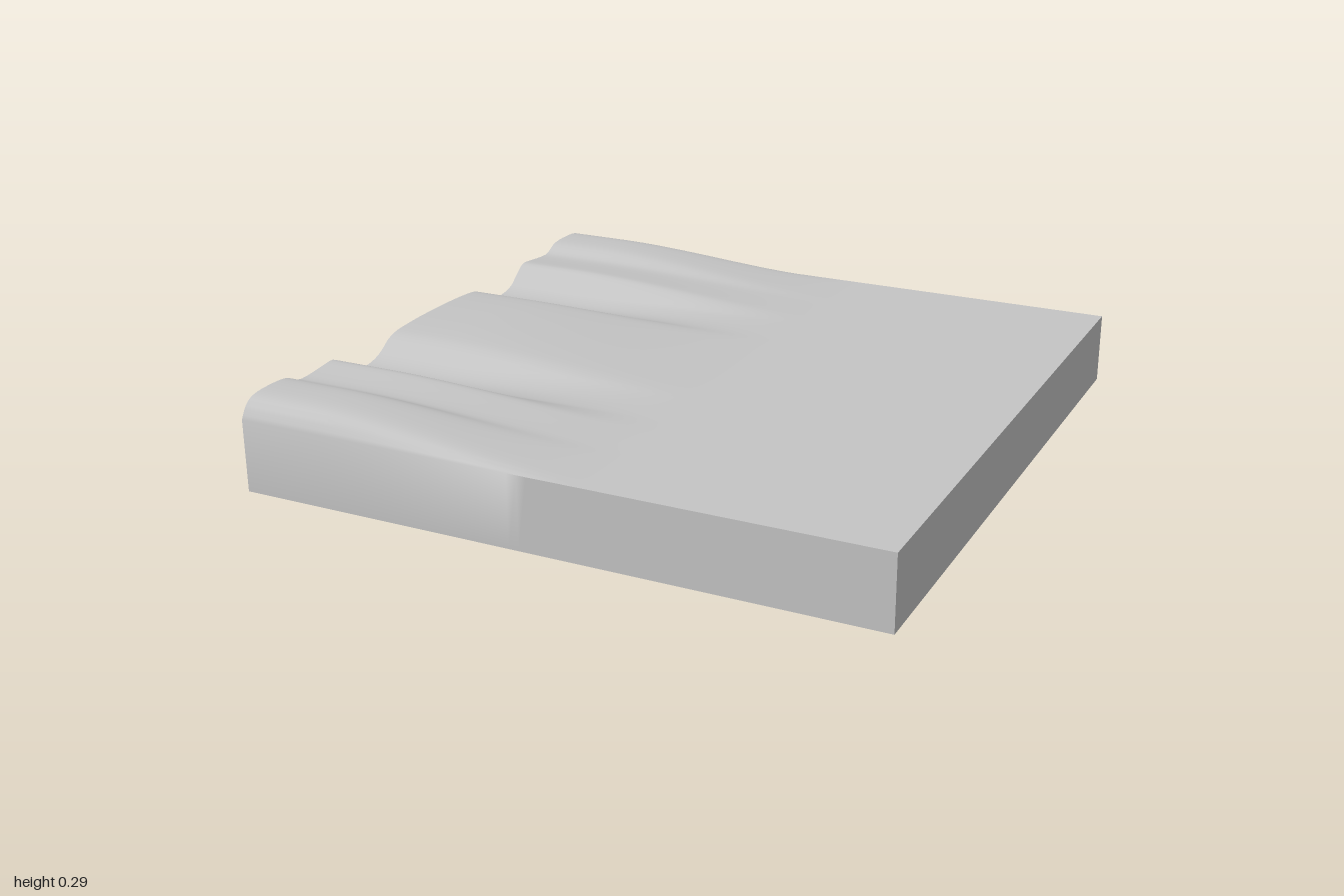
import * as THREE from 'three';
import { toCreasedNormals } from 'three/addons/utils/BufferGeometryUtils.js';

const SLAB = 0.225; // height of the flat part

// half profile of the rippled end as [z, y], mirrored across z = 0
const HALF = [
  [0.1, 0.264], [0.17, 0.261], [0.22, 0.257], [0.25, 0.251], [0.28, 0.239], [0.3, 0.225],
  [0.33, 0.208], [0.37, 0.196], [0.41, 0.193], [0.45, 0.199], [0.48, 0.209], [0.5, 0.224],
  [0.52, 0.24], [0.54, 0.255], [0.565, 0.267], [0.6, 0.266], [0.66, 0.26], [0.72, 0.257],
  [0.75, 0.265], [0.78, 0.28], [0.82, 0.287], [0.88, 0.288], [0.92, 0.286], [0.95, 0.28],
  [0.97, 0.269], [0.985, 0.252], [1, SLAB],
];

function rippleProfile() {
  const right = HALF.map(([z, y]) => new THREE.Vector2(z, y));
  const left = HALF.map(([z, y]) => new THREE.Vector2(-z, y)).reverse();
  const points = [...left, new THREE.Vector2(0, 0.265), ...right];
  return new THREE.SplineCurve(points).getPoints((points.length - 1) * 2);
}

function slabGeometry() {
  const profile = rippleProfile();
  const xs = [];
  for (let j = 0; j <= 36; j++) xs.push(-1 + (1.14 * j) / 36);
  xs.push(1);

  // ripples keep full height at x = -1 and fade into the flat slab
  const top = (j, i) => {
    const fade = 1 - THREE.MathUtils.smoothstep(xs[j], -0.8, 0.14);
    return [xs[j], SLAB + (profile[i].y - SLAB) * fade, profile[i].x];
  };
  const low = (j, i) => [xs[j], 0, profile[i].x];

  const pos = [];
  const quad = (a, b, c, d) => pos.push(...a, ...b, ...c, ...a, ...c, ...d);
  const n = profile.length - 1;
  const m = xs.length - 1;

  for (let j = 0; j < m; j++) {
    // top and underside
    for (let i = 0; i < n; i++) {
      quad(top(j, i), top(j, i + 1), top(j + 1, i + 1), top(j + 1, i));
      quad(low(j, i), low(j + 1, i), low(j + 1, i + 1), low(j, i + 1));
    }
    // front and back walls
    quad(low(j, n), low(j + 1, n), top(j + 1, n), top(j, n));
    quad(low(j, 0), top(j, 0), top(j + 1, 0), low(j + 1, 0));
  }
  // rippled end and flat end
  for (let i = 0; i < n; i++) {
    quad(low(0, i), low(0, i + 1), top(0, i + 1), top(0, i));
    quad(low(m, i), top(m, i), top(m, i + 1), low(m, i + 1));
  }

  const geometry = new THREE.BufferGeometry();
  geometry.setAttribute('position', new THREE.Float32BufferAttribute(pos, 3));
  return toCreasedNormals(geometry, 1.25);
}

export function createModel() {
  const group = new THREE.Group();
  group.name = 'rippledSlab';
  const material = new THREE.MeshStandardMaterial({ color: 0xc4c4c4 });
  material.name = 'lightGrey';
  const slab = new THREE.Mesh(slabGeometry(), material);
  slab.name = 'slab';
  group.add(slab);
  return group;
}
